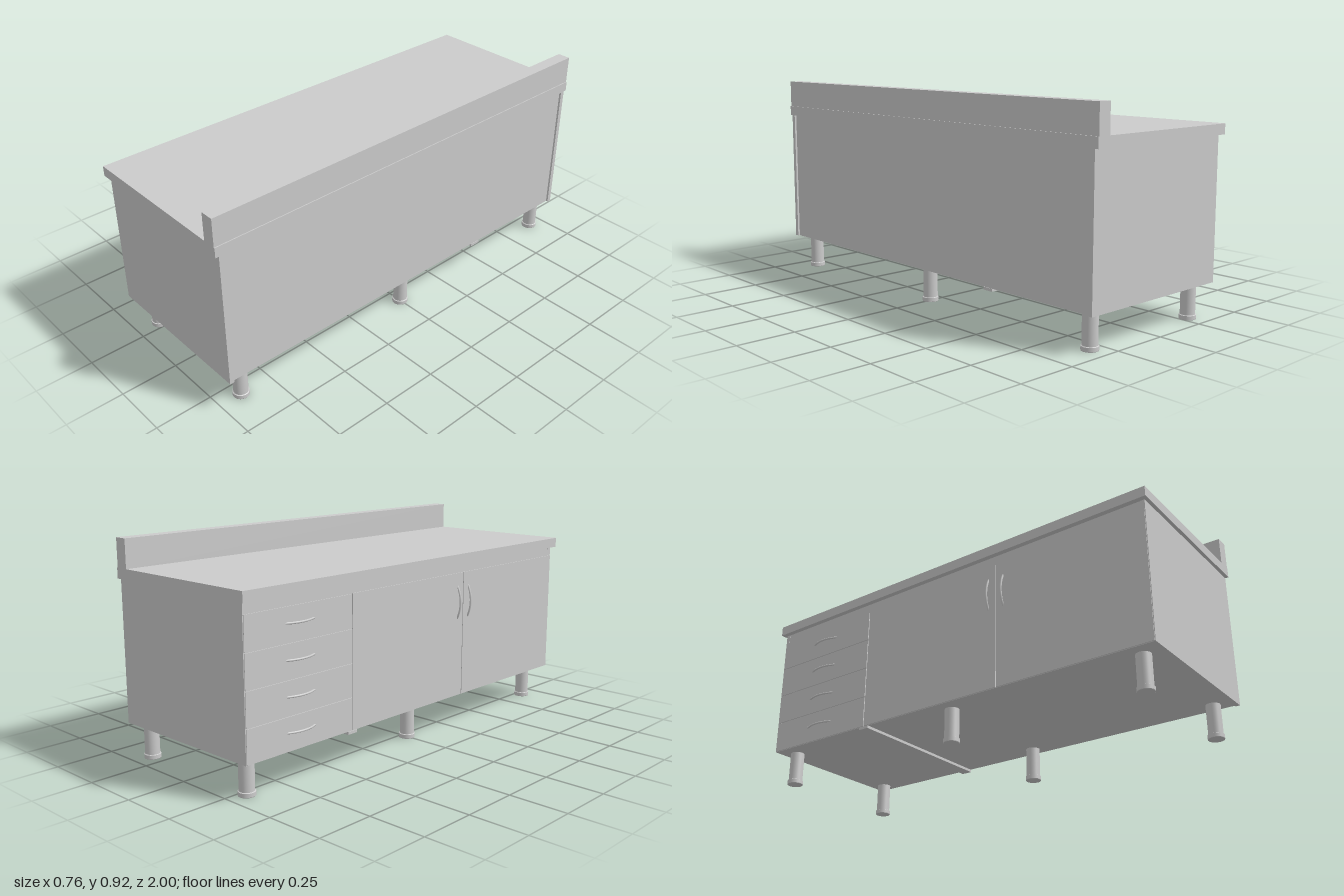
import * as THREE from 'three';

const material = new THREE.MeshStandardMaterial({ color: 0xcccccc });

export function createModel() {
  const root = new THREE.Group();

  const add = (name, geometry) => {
    const mesh = new THREE.Mesh(geometry, material);
    mesh.name = name;
    root.add(mesh);
    return mesh;
  };

  // Box given by its lower and upper limits on each axis
  const box = (name, x0, x1, y0, y1, z0, z1) => {
    const mesh = add(name, new THREE.BoxGeometry(x1 - x0, y1 - y0, z1 - z0));
    mesh.position.set((x0 + x1) / 2, (y0 + y1) / 2, (z0 + z1) / 2);
    return mesh;
  };

  const bottom = 0.15, top = 0.753, end = 0.985, divider = -0.43;

  // Worktop and splashback
  box('worktop', -0.382, 0.382, top, 0.797, -1, 1);
  box('splashback', 0.32, 0.378, 0.797, 0.918, -1, 1);

  // Cabinet body between two end panels, with the back slightly recessed
  box('carcass', -0.359, 0.373, bottom, top, -end + 0.02, end - 0.02);
  for (const s of [-1, 1]) {
    const a = s * end, b = s * (end - 0.02);
    box('endPanel', -0.36, 0.382, bottom, top, Math.min(a, b), Math.max(a, b));
  }
  box('dividerRail', -0.362, 0.375, 0.138, bottom, divider - 0.025, divider + 0.025);

  // Bowed bar handle, centred on (y, z) of the fronts
  const handle = (name, y, z, vertical) => {
    const points = [];
    for (let i = 0; i <= 8; i++) {
      const t = i / 4 - 1;
      points.push(new THREE.Vector3(-0.019 * (1 - t * t), t * 0.074, 0));
    }
    const curve = new THREE.CatmullRomCurve3(points);
    const mesh = add(name, new THREE.TubeGeometry(curve, 20, 0.0045, 8, false));
    mesh.position.set(-0.359, y, z);
    if (!vertical) mesh.rotation.x = Math.PI / 2;
  };

  // Four drawers
  const gap = 0.002, frontTop = 0.71, step = (frontTop - bottom) / 4;
  for (let i = 0; i < 4; i++) {
    const y = bottom + i * step;
    box('drawerFront', -0.363, -0.358, y + gap, y + step - gap, -end + 0.003, divider - gap);
    handle('drawerHandle', y + step / 2 + 0.005, -0.71, false);
  }

  // Pair of doors with handles beside the meeting edge
  const meet = 0.282;
  box('door', -0.363, -0.358, bottom + gap, frontTop, divider + gap, meet - gap);
  box('door', -0.363, -0.358, bottom + gap, frontTop, meet + gap, end - 0.003);
  for (const s of [-1, 1]) handle('doorHandle', 0.578, meet + s * 0.037, true);

  // Six round legs with a wider foot
  const profile = [[0, 0], [0.034, 0], [0.035, 0.002], [0.035, 0.018], [0.031, 0.02], [0.031, bottom]];
  // Repeated points keep the profile edges sharp
  const sharp = profile.flatMap(([r, y]) => [new THREE.Vector2(r, y), new THREE.Vector2(r, y)]).slice(1, -1);
  for (const x of [-0.283, 0.316]) {
    for (const z of [-0.92, 0, 0.895]) {
      const leg = new THREE.Group();
      leg.name = 'leg';
      for (let i = 0; i < sharp.length; i += 2) {
        const part = new THREE.Mesh(new THREE.LatheGeometry([sharp[i], sharp[i + 1]], 28), material);
        part.name = 'legSection';
        leg.add(part);
      }
      leg.position.set(x, 0, z);
      root.add(leg);
    }
  }
  return root;
}
